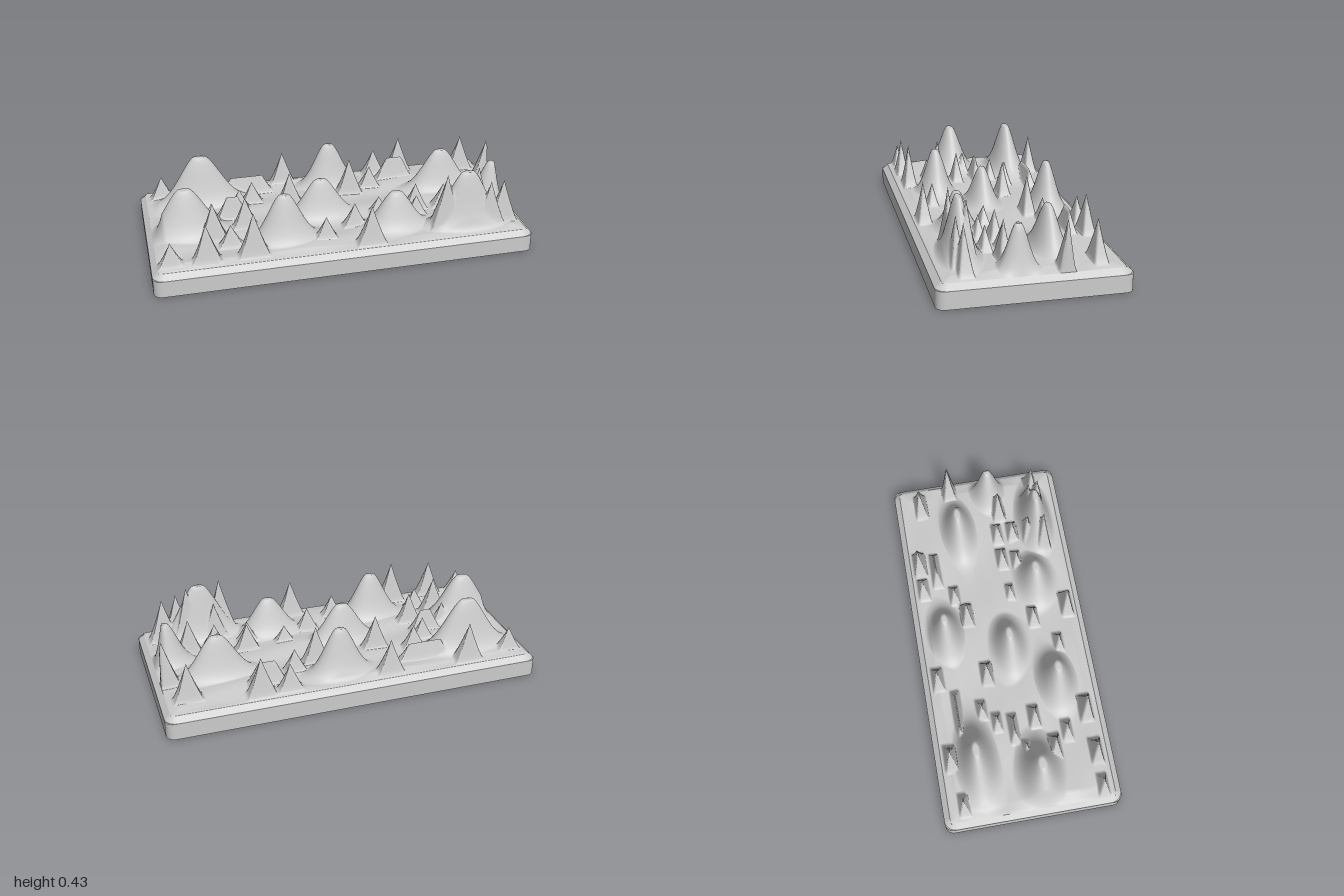
import * as THREE from 'three';

const BASE_TOP = 0.117;
const HALF_X = 0.97;
const HALF_Z = 0.435;

// x, z, peak height, spread in x, spread in z
const HILLS = [
  [-0.67, -0.25, 0.40, 0.12, 0.056],
  [0.06, -0.30, 0.375, 0.085, 0.05],
  [0.67, -0.135, 0.35, 0.10, 0.05],
  [-0.79, 0.07, 0.375, 0.11, 0.064],
  [-0.06, 0.03, 0.33, 0.095, 0.05],
  [-0.30, 0.245, 0.375, 0.09, 0.055],
  [0.30, 0.24, 0.32, 0.09, 0.055],
  [0.67, 0.305, 0.425, 0.11, 0.05],
  [0.90, 0.07, 0.35, 0.07, 0.05],
];

// x, z, tip height, half length of a flat crest (none for a sharp peak)
const PEAKS = [
  [-0.88, -0.355, 0.25], [-0.63, -0.385, 0.33], [-0.19, -0.385, 0.31],
  [0.35, -0.385, 0.27], [0.50, -0.385, 0.33], [0.86, -0.325, 0.33],
  [0.28, -0.22, 0.25], [0.15, -0.17, 0.33], [-0.40, -0.18, 0.25],
  [-0.20, -0.12, 0.31], [-0.48, -0.11, 0.25], [0.95, -0.15, 0.37],
  [-0.65, 0.02, 0.25], [-0.48, 0.09, 0.30], [-0.66, 0.17, 0.33],
  [0.25, 0.09, 0.22], [0.46, 0.08, 0.27], [0.44, 0.16, 0.24],
  [0.62, 0.08, 0.25], [0.62, 0.165, 0.25], [0.77, 0.11, 0.33],
  [-0.90, 0.38, 0.25], [-0.72, 0.38, 0.33], [-0.48, 0.37, 0.36],
  [0.13, 0.385, 0.33], [-0.09, 0.30, 0.25], [0.09, 0.19, 0.25],
  [-0.58, 0.25, 0.24], [0.55, 0.33, 0.43], [0.74, 0.28, 0.43],
  [0.79, 0.34, 0.37], [0.87, 0.32, 0.36], [0.60, 0.25, 0.33],
  [-0.41, -0.31, 0.22, 0.09], [0.45, -0.30, 0.25, 0.045], [-0.53, -0.03, 0.25, 0.03],
];

function terrainHeight(x, z) {
  const inX = HALF_X - Math.abs(x);
  const inZ = HALF_Z - Math.abs(z);
  // the rim drops straight to the base
  if (inX < 1e-4 || inZ < 1e-4) return BASE_TOP;

  let bump = 0.01 * (1 + Math.sin(7 * x + 9 * z) * Math.cos(17 * z - 3 * x));
  for (const [hx, hz, top, sx, sz] of HILLS) {
    const d = ((x - hx) / sx) ** 2 + ((z - hz) / sz) ** 2;
    // bell with a blunt crown
    bump = Math.max(bump, (top - BASE_TOP) * Math.min(1, 1.06 * Math.exp(-0.62 * d)));
  }
  bump *= Math.min(1, inX / 0.06, inZ / 0.05);

  // four-sided peaks, broad across x and thin along z, flaring at the foot
  for (const [px, pz, top, crest = 0] of PEAKS) {
    const h = top - BASE_TOP;
    const dx = Math.max(0, Math.abs(x - px) - crest) / (0.05 + 0.14 * h);
    const dz = Math.abs(z - pz) / (0.025 + 0.06 * h);
    const t = 1 - Math.max(dx, dz);
    if (t > 0) bump = Math.max(bump, h * t ** 1.2);
  }
  return BASE_TOP + 0.001 + bump;
}

function roundedRect(hx, hz, r) {
  const s = new THREE.Shape();
  s.absarc(hx - r, hz - r, r, 0, Math.PI / 2);
  s.absarc(-hx + r, hz - r, r, Math.PI / 2, Math.PI);
  s.absarc(-hx + r, -hz + r, r, Math.PI, Math.PI * 1.5);
  s.absarc(hx - r, -hz + r, r, Math.PI * 1.5, Math.PI * 2);
  return s;
}

export function createModel() {
  const model = new THREE.Group();
  const smooth = new THREE.MeshStandardMaterial({ color: 0xcccccc, side: THREE.DoubleSide });
  const faceted = new THREE.MeshStandardMaterial({ color: 0xcccccc, flatShading: true });

  function add(name, geometry, material) {
    const mesh = new THREE.Mesh(geometry, material);
    mesh.name = name;
    model.add(mesh);
  }

  // Slab with rounded corners
  const slab = new THREE.ExtrudeGeometry(roundedRect(1, 0.47, 0.045),
    { depth: 0.09, bevelEnabled: false, curveSegments: 6 });
  slab.rotateX(-Math.PI / 2);
  add('baseSlab', slab, faceted);

  // Chamfered upper lip; its lower bevel is sunk in the slab
  const lip = new THREE.ExtrudeGeometry(roundedRect(0.968, 0.438, 0.03), {
    depth: 0.03, bevelSize: 0.032, bevelThickness: 0.027, bevelSegments: 1, curveSegments: 6,
  });
  lip.rotateX(-Math.PI / 2).translate(0, 0.06, 0);
  add('baseChamfer', lip, faceted);

  // Rolling ground with hills, peaks and ridges
  const ground = new THREE.PlaneGeometry(HALF_X * 2, HALF_Z * 2, 194, 174);
  ground.rotateX(-Math.PI / 2);
  const p = ground.attributes.position;
  for (let i = 0; i < p.count; i++) p.setY(i, terrainHeight(p.getX(i), p.getZ(i)));
  ground.computeVertexNormals();
  add('terrain', ground, smooth);
  return model;
}
